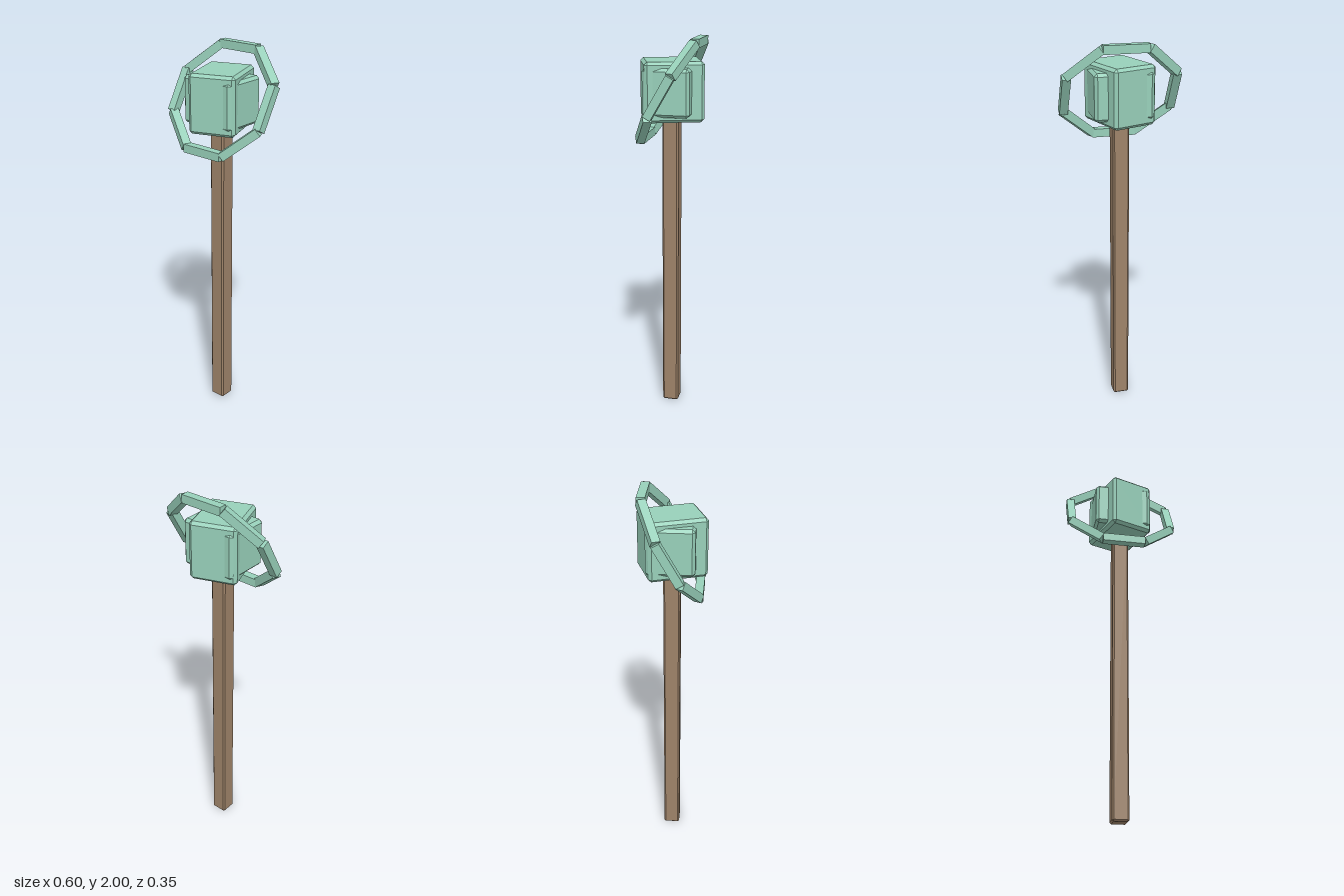
import * as THREE from 'three';
import { ConvexGeometry } from 'three/addons/geometries/ConvexGeometry.js';

// Box with every edge cut by a flat chamfer c
function chamferBox(w, h, d, c) {
  const points = [];
  for (const x of [-w / 2, w / 2])
    for (const y of [-h / 2, h / 2])
      for (const z of [-d / 2, d / 2]) {
        const cx = x - Math.sign(x) * c, cy = y - Math.sign(y) * c, cz = z - Math.sign(z) * c;
        points.push(
          new THREE.Vector3(x, cy, cz),
          new THREE.Vector3(cx, y, cz),
          new THREE.Vector3(cx, cy, z)
        );
      }
  return new ConvexGeometry(points);
}

export function createModel() {
  const model = new THREE.Group();
  model.name = 'staff';

  const mint = new THREE.MeshStandardMaterial({ color: 0x98d0ba });
  mint.name = 'mint crystal';
  const wood = new THREE.MeshStandardMaterial({ color: 0x9e8369 });
  wood.name = 'brown wood';

  const headY = 1.74;

  const add = (name, geometry, material, y, parent = model) => {
    const mesh = new THREE.Mesh(geometry, material);
    mesh.name = name;
    mesh.position.y = y;
    parent.add(mesh);
    return mesh;
  };

  // Square shaft, ending inside the head
  add('shaft', chamferBox(0.085, 1.62, 0.085, 0.008), wood, 0.81);

  // Head: two interlocking chamfered blocks
  add('innerBlock', chamferBox(0.3, 0.24, 0.24, 0.015), mint, headY);
  add('outerBlock', chamferBox(0.24, 0.3, 0.3, 0.015), mint, headY)
    .rotation.y = THREE.MathUtils.degToRad(20);

  // Eight straight bars around a circle leaning back by 30 degrees
  const ring = new THREE.Group();
  ring.name = 'ring';
  model.add(ring);
  const radius = 0.3, sides = 8, lean = Math.PI / 6;
  const corner = (i) => {
    const a = ((i + 0.5) / sides) * Math.PI * 2;
    const rise = radius * Math.sin(a);
    return new THREE.Vector3(
      radius * Math.cos(a),
      headY + rise * Math.cos(lean),
      -rise * Math.sin(lean)
    );
  };
  const barGeometry = new THREE.BoxGeometry(0.043, 0.043, 2 * radius * Math.sin(Math.PI / sides));
  for (let i = 0; i < sides; i++) {
    const start = corner(i), end = corner(i + 1);
    const bar = new THREE.Mesh(barGeometry, mint);
    bar.name = 'ringBar' + (i + 1);
    bar.position.copy(start).lerp(end, 0.5);
    bar.lookAt(end);
    ring.add(bar);
  }

  return model;
}
